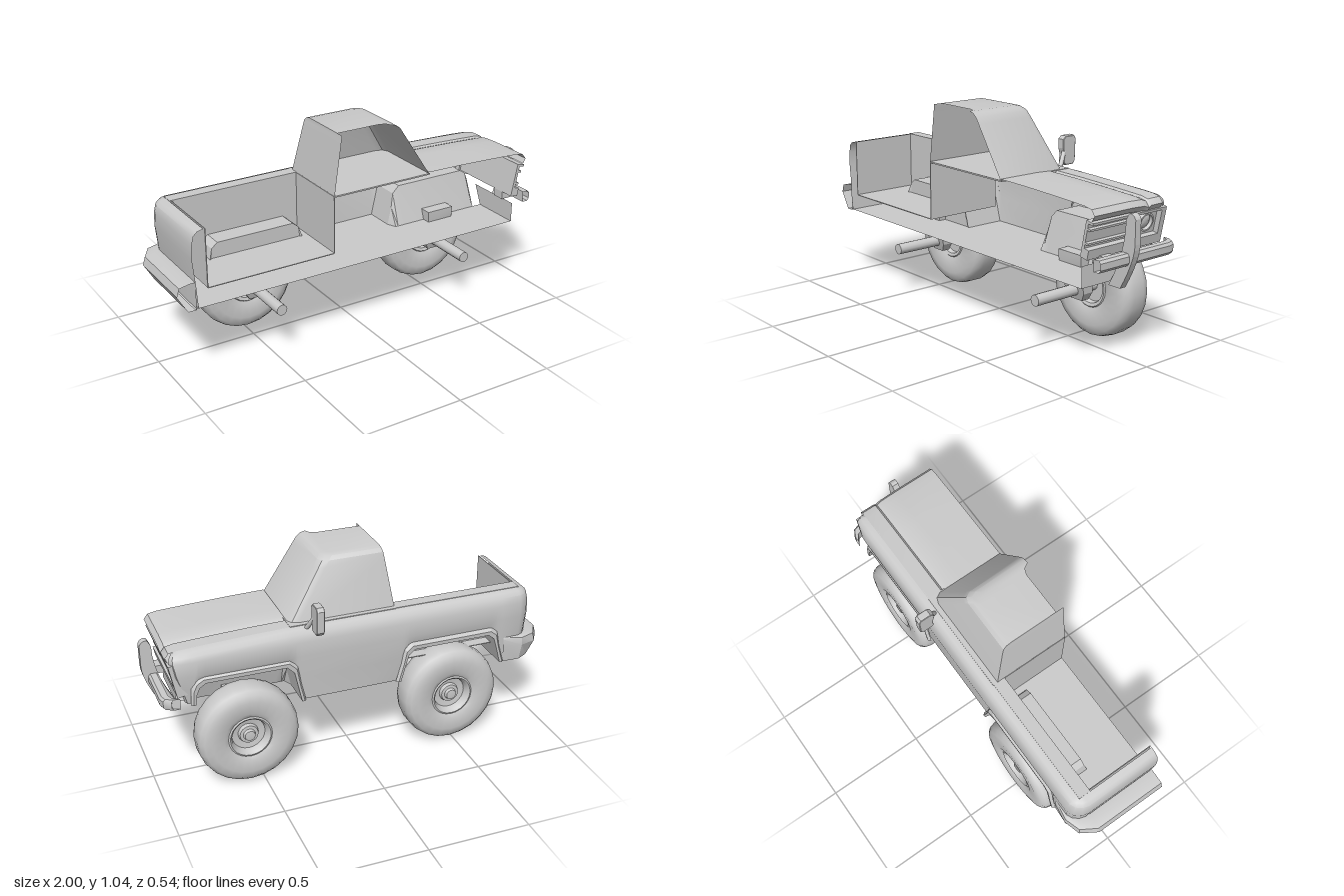
import * as THREE from 'three';
import { toCreasedNormals } from 'three/addons/utils/BufferGeometryUtils.js';

const MID = 0.27; // z of the open centre plane
const mat = new THREE.MeshStandardMaterial({ color: 0xcccccc, side: THREE.DoubleSide });

// Skin a grid of cross-sections
function loft(rows, crease = 0.6) {
  const n = rows[0].length, idx = [];
  for (let i = 0; i < rows.length - 1; i++)
    for (let j = 0; j < n - 1; j++) {
      const a = i * n + j, b = a + n;
      idx.push(a, a + 1, b, b, a + 1, b + 1);
    }
  const g = new THREE.BufferGeometry();
  g.setAttribute('position', new THREE.Float32BufferAttribute(rows.flat(2), 3));
  g.setIndex(idx);
  return toCreasedNormals(g, crease);
}

// Outward direction at each point of a plan path of [x, z, ...]
function outward(path, i) {
  const a = path[Math.max(i - 1, 0)], b = path[Math.min(i + 1, path.length - 1)];
  const dx = b[0] - a[0], dz = b[1] - a[1], l = Math.hypot(dx, dz);
  return [dz / l, -dx / l];
}

const REAR_ARCH = [[-0.75, 0.38], [-0.725, 0.47], [-0.71, 0.52], [-0.68, 0.545],
  [-0.28, 0.545], [-0.25, 0.52], [-0.235, 0.47], [-0.21, 0.38]];
const FRONT_ARCH = [[0.3, 0.38], [0.32, 0.47], [0.335, 0.54], [0.37, 0.575],
  [0.76, 0.575], [0.79, 0.555], [0.805, 0.52], [0.81, 0.47]];

export function createModel() {
  const model = new THREE.Group();
  const add = (name, geo, parent = model) => {
    const m = new THREE.Mesh(geo, mat);
    m.name = name;
    parent.add(m);
    return m;
  };
  const box = (name, x0, x1, y0, y1, z0, z1, parent) => {
    const m = add(name, new THREE.BoxGeometry(x1 - x0, y1 - y0, z1 - z0), parent);
    m.position.set((x0 + x1) / 2, (y0 + y1) / 2, (z0 + z1) / 2);
    return m;
  };
  const rod = (name, a, b, r) => {
    const p = new THREE.Vector3(...a), q = new THREE.Vector3(...b);
    const m = add(name, new THREE.CylinderGeometry(r, r, p.distanceTo(q), 12));
    m.position.copy(p).lerp(q, 0.5);
    m.quaternion.setFromUnitVectors(new THREE.Vector3(0, 1, 0), q.sub(p).normalize());
  };

  // Outer skin: tail, rounded corner, side with wheel arches, nose corner
  const side = pts => pts.map(([x, y]) => [x, -0.2, y]);
  const plan = [[-0.92, MID, 0.38], [-0.92, -0.12, 0.38], [-0.91, -0.155, 0.38],
    [-0.885, -0.185, 0.38], [-0.85, -0.2, 0.38], ...side(REAR_ARCH), [0, -0.2, 0.38],
    ...side(FRONT_ARCH), [0.87, -0.198, 0.47], [0.91, -0.188, 0.47], [0.925, -0.16, 0.47]];
  const hoodTop = x => 0.755 - 0.022 * Math.pow(Math.max(0, (x - 0.33) / 0.6), 1.5);
  add('bodySide', loft(plan.map(([x, z, yb], i) => {
    const [nx, nz] = outward(plan, i), top = hoodTop(x);
    return [[yb, 0.02], [(yb + 0.62) / 2, 0.012], [0.62, 0], [0.69, 0.003], [top - 0.025, 0.012],
      [top - 0.008, 0.03], [top, 0.06]].map(([y, d]) =>
      [x - nx * d + (x > 0.82 ? (y - 0.72) * 0.22 : 0), y, z - nz * d]);
  })));

  // Hood, rolled down at the nose, with a crease beside the fender
  const hood = [[0.33, 0], [0.5, 0], [0.7, 0], [0.87, 0], [0.91, -0.006], [0.93, -0.03], [0.915, -0.055]];
  add('hood', loft(hood.map(([x, d]) => {
    const y = hoodTop(x) + d;
    return [[MID, 0.008], [0.05, 0.007], [-0.03, 0.003], [-0.055, -0.006], [-0.06, -0.01],
      [-0.07, 0], [-0.145, 0]].map(([z, e]) => [x, y + e, z]);
  })));
  box('cowl', -0.2, 0.335, 0.75, 0.757, -0.145, MID);

  // Cab: plan sections shrinking to the roof
  const cab = [[0.755, -0.2, 0.33, -0.12], [0.99, -0.167, 0.175, -0.07], [1.02, -0.163, 0.155, -0.062],
    [1.036, -0.16, 0.135, -0.045], [1.042, -0.16, 0.11, -0.02], [1.042, -0.16, 0.11, MID - 0.04]];
  add('cab', loft(cab.map(([y, r, f, s]) => [[r, MID], [r, s], [f - 0.045, s], [f - 0.015, s + 0.012],
    [f, s + 0.04], [f, MID]].map(([x, z]) => [x, y, z])), 0.5));
  box('cabBulkhead', -0.202, -0.198, 0.47, 0.755, -0.14, MID);

  // Cargo bed
  box('bedFloor', -0.85, -0.2, 0.466, 0.47, -0.14, MID);
  box('tailgateInner', -0.853, -0.849, 0.47, 0.755, -0.14, MID);
  box('bedInnerWall', -0.85, -0.2, 0.47, 0.752, -0.084, -0.08);
  box('bedRail', -0.86, -0.2, 0.745, 0.757, -0.142, -0.08);

  // Floor pan notched around the wheels, with its front wall
  const pan = new THREE.Shape([[-0.92, MID], [-0.92, -0.13], [-0.86, -0.18], [-0.75, -0.18], [-0.75, 0.02],
    [-0.21, 0.02], [-0.21, -0.18], [0.3, -0.18], [0.3, 0.015], [0.86, 0.015], [0.86, MID]]
    .map(([x, z]) => new THREE.Vector2(x, z)));
  add('floorPan', new THREE.ShapeGeometry(pan).rotateX(Math.PI / 2)).position.y = 0.38;
  add('frontValance', loft([[[0.86, 0.38, MID], [0.86, 0.38, 0.015]], [[0.86, 0.48, MID], [0.86, 0.48, -0.03]]]));

  // Wheel wells, arch lips, struts, axles and wheels
  const tire = [[0, -0.045], [0.08, -0.045], [0.085, -0.07], [0.1, -0.075], [0.105, -0.07], [0.13, -0.08],
    [0.19, -0.083], [0.225, -0.076], [0.243, -0.058], [0.25, -0.03], [0.25, 0.03], [0.243, 0.058],
    [0.225, 0.075], [0.19, 0.082], [0.13, 0.08], [0.108, 0.07], [0.1, 0.074], [0.09, 0.065], [0.082, 0.035],
    [0.05, 0.03], [0.045, 0.048], [0.03, 0.05], [0.025, 0.065], [0, 0.068]].map(p => new THREE.Vector2(...p));
  const wheelGeo = toCreasedNormals(new THREE.LatheGeometry(tire, 24), 0.7).rotateX(-Math.PI / 2);
  for (const [end, arch, cx, inner, topInner] of [['rear', REAR_ARCH, -0.485, 0.02, 0.03],
    ['front', FRONT_ARCH, 0.565, 0.015, -0.03]]) {
    const low = arch.map(([x]) => [x, 0.38, inner]);
    const high = arch.map(([x, y]) => [x, y, y > 0.5 ? topInner - 0.01 : topInner]);
    const rim = arch.map(([x, y]) => [x, y, -0.185]);
    add(end + 'WheelWell', loft([low, high, rim], 0.4));
    // raised lip around the arch opening
    const mx = (arch[0][0] + arch[7][0]) / 2;
    const lip = (k, dy, z) => arch.map(([x, y]) => [mx + (x - mx) * k, y + (y > 0.5 ? dy : 0), z]);
    add(end + 'ArchLip', loft([lip(1, 0, -0.18), lip(1, 0, -0.2), lip(1.05, 0.02, -0.202), lip(1.09, 0.035, -0.188)], 0.4));
    // tapered strut
    const ring = (y, w, z0, z1) => [[-w, z0], [w, z0], [w, z1], [-w, z1], [-w, z0]].map(([x, z]) => [cx + x, y, z]);
    add(end + 'Strut', loft([ring(0.2, 0, -0.03, 0.012), ring(0.2, 0.035, -0.03, 0.012), ring(0.24, 0.06, -0.03, 0.025),
      ring(0.375, 0.072, -0.03, 0.058), ring(0.435, 0.075, -0.03, 0.06), ring(0.435, 0, -0.03, 0.06)], 0.3));
    rod(end + 'Axle', [cx, 0.25, MID], [cx, 0.25, -0.1], 0.027);
    add(end + 'Wheel', wheelGeo).position.set(cx, 0.25, -0.14);
  }

  // Leaning front face with recessed grille and headlight
  const face = new THREE.Group();
  face.name = 'frontFace';
  face.position.set(0.888, 0.615, 0);
  face.rotation.z = -0.2;
  model.add(face);
  box('grillePanel', -0.02, -0.005, -0.1, 0.07, -0.165, MID, face);
  box('grilleLowerLip', -0.02, 0.022, -0.1, -0.055, -0.165, MID, face);
  box('grilleUpperLip', -0.02, 0.022, 0.058, 0.07, -0.16, MID, face);
  box('grilleCheek', -0.03, 0.022, -0.1, 0.07, -0.18, -0.152, face);
  for (const y of [-0.032, 0.032]) box('grilleBar', -0.01, 0.012, y - 0.005, y + 0.005, 0.01, MID, face);
  box('grilleBarEnd', -0.01, 0.012, -0.03, 0.03, 0, 0.012, face);
  const lamp = [[0, 0.012], [0.025, 0.01], [0.034, 0.004], [0.036, 0.02], [0.044, 0.02], [0.046, -0.01]];
  const light = add('headlight', toCreasedNormals(new THREE.LatheGeometry(
    lamp.map(p => new THREE.Vector2(...p)), 20), 0.6).rotateZ(-Math.PI / 2), face);
  light.position.set(-0.004, 0.01, -0.073);

  // Front bumper with a turned-back end
  const bumper = [[MID, 0.97], [-0.16, 0.97], [-0.19, 0.96], [-0.21, 0.925]];
  add('frontBumper', loft(bumper.map(([z, x]) => [[x - 0.04, 0.472], [x - 0.01, 0.472], [x, 0.485], [x, 0.515],
    [x - 0.01, 0.527], [x - 0.04, 0.527], [x - 0.04, 0.472]].map(([a, y]) => [a, y, z]))));
  box('bumperBracket', 0.85, 0.94, 0.48, 0.52, 0.14, 0.2);

  // Curved upright guard
  const guard = new THREE.Shape();
  guard.moveTo(0.85, 0.36);
  guard.lineTo(0.92, 0.36);
  guard.quadraticCurveTo(1.0, 0.5, 1.0, 0.57);
  guard.lineTo(1.0, 0.68);
  guard.quadraticCurveTo(0.985, 0.71, 0.96, 0.7);
  guard.lineTo(0.945, 0.67);
  guard.quadraticCurveTo(0.945, 0.52, 0.85, 0.36);
  add('frontGuard', new THREE.ExtrudeGeometry(guard, { depth: 0.034, bevelEnabled: false, curveSegments: 6 }))
    .position.z = 0.064;

  // Rear bumper wrapping the corner
  const wrap = [[-0.92, MID, 1], [-0.92, -0.1, 1], [-0.9, -0.15, 0.75], [-0.86, -0.185, 0.3], [-0.77, -0.185, 0.1]];
  add('rearBumper', loft(wrap.map(([x, z, k], i) => {
    const [nx, nz] = outward(wrap, i);
    return [[-0.01, 0.51], [0.02, 0.51], [0.068, 0.5], [0.08, 0.46], [0.03, 0.375], [-0.01, 0.375], [-0.01, 0.51]]
      .map(([d, y]) => [x + nx * d * k, y, z + nz * d * k]);
  }), 0.4));

  // Door mirror on its arm
  rod('mirrorArm', [0.265, 0.73, -0.15], [0.235, 0.82, -0.21], 0.011);
  const glass = new THREE.Shape([[-0.2, 0.76], [-0.21, 0.75], [-0.255, 0.75], [-0.267, 0.765], [-0.27, 0.87],
    [-0.26, 0.885], [-0.21, 0.885], [-0.195, 0.872], [-0.195, 0.83], [-0.203, 0.8]]
    .map(([z, y]) => new THREE.Vector2(-z, y)));
  const mirror = add('mirror', new THREE.ExtrudeGeometry(glass, { depth: 0.022, bevelSize: 0.004,
    bevelThickness: 0.008, bevelSegments: 2 }).rotateY(Math.PI / 2));
  mirror.position.x = 0.217;

  return model;
}
